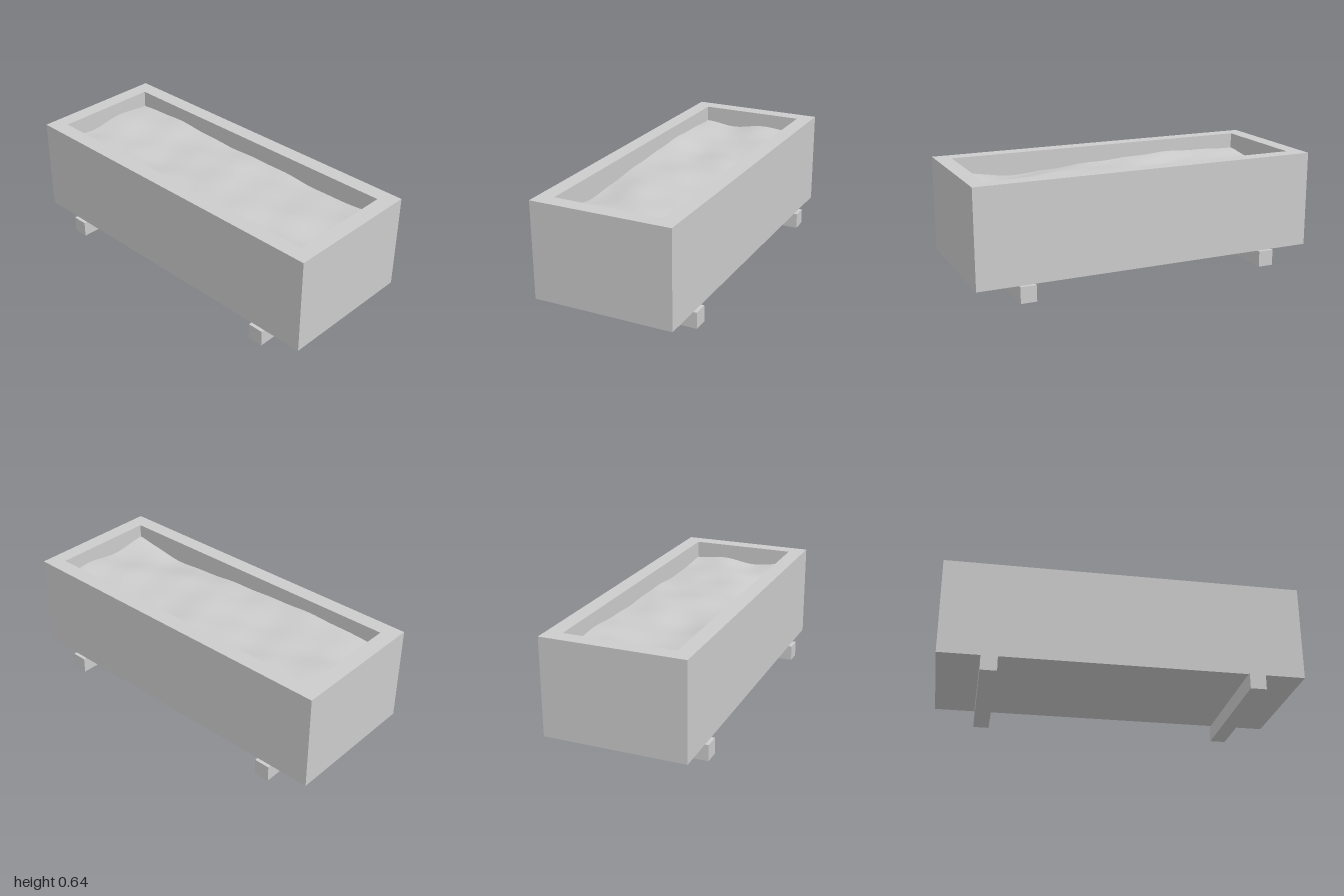
import * as THREE from 'three';

const material = new THREE.MeshStandardMaterial({ color: 0xcccccc });

// Shell lofted through rectangular rings [halfWidth, y, halfDepth], listed from outside to inside
function loftRectangles(rings) {
  const corners = rings.map(([w, y, d]) => [
    [-w, y, d], [w, y, d], [w, y, -d], [-w, y, -d],
  ]);
  const pos = [];
  const quad = (a, b, c, d) => pos.push(...a, ...b, ...c, ...a, ...c, ...d);
  for (let r = 0; r < corners.length - 1; r++) {
    const lo = corners[r], hi = corners[r + 1];
    for (let i = 0; i < 4; i++) {
      const j = (i + 1) % 4;
      quad(lo[i], lo[j], hi[j], hi[i]);
    }
  }
  const first = corners[0], last = corners[corners.length - 1];
  quad(first[3], first[2], first[1], first[0]); // underside
  quad(last[0], last[1], last[2], last[3]); // inner floor
  const g = new THREE.BufferGeometry();
  g.setAttribute('position', new THREE.Float32BufferAttribute(pos, 3));
  g.computeVertexNormals();
  return g;
}

// Soil heights in thousandths, rows from back to front, columns from -x to +x
const soilHeights = [
  [540, 560, 540, 540, 537, 524, 540],
  [563, 548, 543, 550, 536, 545, 552],
  [536, 538, 532, 546, 550, 540, 530],
  [550, 562, 560, 545, 528, 512, 565],
];

// Smooth interpolation along a row of evenly spaced values, t in 0..1
function spline(values, t) {
  const n = values.length - 1;
  const f = t * n, i = Math.min(Math.floor(f), n - 1), u = f - i;
  const at = (k) => values[Math.max(0, Math.min(n, k))];
  const [a, b, c, d] = [at(i - 1), at(i), at(i + 1), at(i + 2)];
  return b + 0.5 * u * (c - a + u * (2 * a - 5 * b + 4 * c - d + u * (3 * (b - c) + d - a)));
}

function soilHeight(x, z) {
  const u = (x + 0.91) / 1.82, v = (z + 0.31) / 0.62;
  const base = spline(soilHeights.map((row) => spline(row, u)), v) / 1000;
  return base + 0.004 * Math.sin(17 * x + 9 * z) * Math.cos(13 * z - 5 * x);
}

export function createModel() {
  const model = new THREE.Group();
  model.name = 'planterBox';
  const add = (geometry, name, x = 0, y = 0, z = 0) => {
    const mesh = new THREE.Mesh(geometry, material);
    mesh.name = name;
    mesh.position.set(x, y, z);
    model.add(mesh);
    return mesh;
  };

  // Open trough with thick walls
  add(loftRectangles([
    [1, 0.092, 0.4], [1, 0.642, 0.4], [0.91, 0.642, 0.31], [0.91, 0.182, 0.31],
  ]), 'trough');

  // Uneven soil surface
  const soil = new THREE.PlaneGeometry(1.82, 0.62, 60, 24).rotateX(-Math.PI / 2);
  const p = soil.attributes.position;
  for (let i = 0; i < p.count; i++) p.setY(i, soilHeight(p.getX(i), p.getZ(i)));
  soil.computeVertexNormals();
  add(soil, 'soil').material = new THREE.MeshStandardMaterial({ color: 0xcccccc, side: THREE.DoubleSide });

  // Two runners under the trough, protruding front and back
  for (const side of [-1, 1]) {
    add(new THREE.BoxGeometry(0.09, 0.092, 0.84), side < 0 ? 'rightRunner' : 'leftRunner', side * 0.725, 0.046);
  }
  return model;
}
